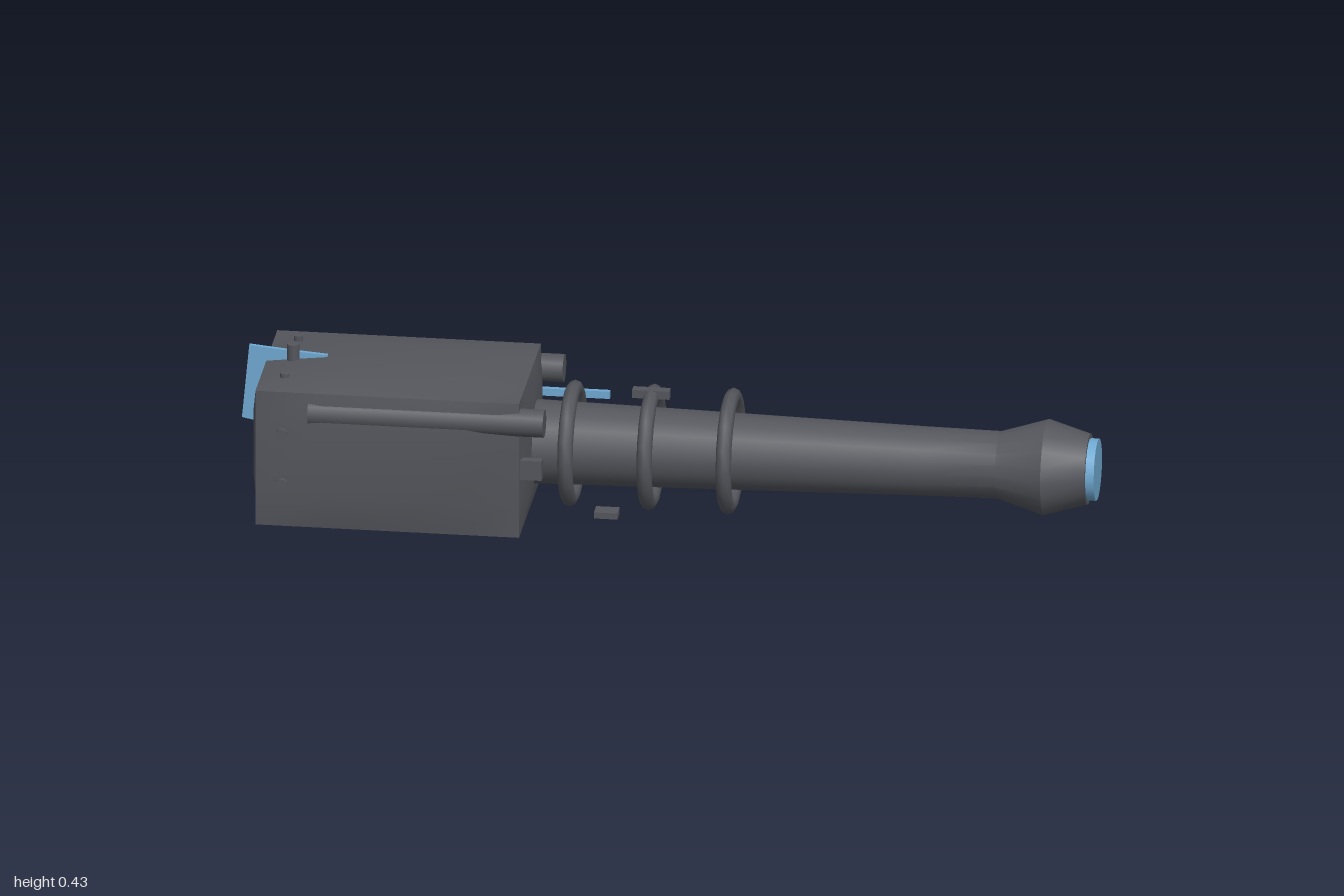
import * as THREE from 'three';
import { toCreasedNormals } from 'three/addons/utils/BufferGeometryUtils.js';

const AXIS_Y = 0.214, AXIS_Z = 0.016;

export function createModel() {
  const group = new THREE.Group();
  const metal = new THREE.MeshStandardMaterial({ color: 0x54565c });
  metal.name = 'dark metal';
  const glow = new THREE.MeshStandardMaterial({ color: 0x6fa9d2 });
  glow.name = 'light blue';

  const add = (name, geo, mat, x, y, z) => {
    const mesh = new THREE.Mesh(geo, mat);
    mesh.name = name;
    mesh.position.set(x, y, z);
    group.add(mesh);
    return mesh;
  };
  // box given by its minimum and maximum corners
  const box = (name, a, b, mat = metal) => add(name,
    new THREE.BoxGeometry(b[0] - a[0], b[1] - a[1], b[2] - a[2]), mat,
    (a[0] + b[0]) / 2, (a[1] + b[1]) / 2, (a[2] + b[2]) / 2);
  // cylinder along x, y or z
  const rod = (name, axis, r, length, x, y, z, sides = 12, mat = metal) => {
    const geo = new THREE.CylinderGeometry(r, r, length, sides);
    if (axis === 'x') geo.rotateZ(-Math.PI / 2);
    if (axis === 'z') geo.rotateX(Math.PI / 2);
    return add(name, geo, mat, x, y, z);
  };

  // head: a block whose six faces each bulge outwards
  const half = [0.308, 0.167, 0.188], bulge = [0.017, 0.018, 0.017];
  const headGeo = new THREE.BoxGeometry(2, 2, 2, 3, 3, 3);
  const pos = headGeo.attributes.position;
  for (let i = 0; i < pos.count; i++) {
    const u = [pos.getX(i), pos.getY(i), pos.getZ(i)];
    const outer = u.map(c => Math.abs(c) > 0.9);
    const onFaceOnly = outer.filter(Boolean).length === 1;
    const p = u.map((c, k) => Math.sign(c) *
      (outer[k] ? half[k] + (onFaceOnly ? bulge[k] : 0) : half[k] * 0.5));
    pos.setXYZ(i, ...p);
  }
  headGeo.computeVertexNormals();
  add('head', headGeo, metal, -0.635, AXIS_Y, AXIS_Z);

  // handle with flared pommel
  const profile = [[0, -0.4], [0.101, -0.4], [0.098, -0.28], [0.093, 0], [0.081, 0.6],
    [0.079, 0.77], [0.113, 0.88], [0.083, 0.98], [0, 0.98]];
  const handleGeo = new THREE.LatheGeometry(profile.map(p => new THREE.Vector2(...p)), 18);
  handleGeo.rotateZ(-Math.PI / 2);
  add('handle', toCreasedNormals(handleGeo, 0.42), metal, 0, AXIS_Y, AXIS_Z);
  rod('pommelCap', 'x', 0.073, 0.03, 0.985, AXIS_Y, AXIS_Z, 18, glow);

  // floating rings round the handle
  for (const x of [-0.228, -0.043, 0.142]) {
    const geo = new THREE.TorusGeometry(0.129, 0.018, 8, 16);
    geo.rotateY(Math.PI / 2);
    add('handleRing', geo, metal, x, AXIS_Y, AXIS_Z);
  }

  // rods along the upper edges of the head
  for (const z of [0.188, -0.157]) rod('edgeRod', 'x', 0.033, 0.55, -0.545, 0.329, z, 18);

  // studs near the back of the head
  rod('topStud', 'y', 0.015, 0.06, -0.88, 0.397, AXIS_Z);
  rod('bottomStud', 'y', 0.015, 0.06, -0.88, 0.03, AXIS_Z);
  for (const z of [-0.11, 0.125]) rod('smallTopStud', 'y', 0.011, 0.03, -0.885, 0.382, z);
  for (const y of [0.155, 0.28]) {
    rod('frontStud', 'z', 0.014, 0.03, -0.88, y, 0.205);
    rod('rearStud', 'z', 0.014, 0.03, -0.88, y, -0.176);
  }

  // small blocks and plates
  box('rearBlock', [-0.93, 0.145, -0.22], [-0.87, 0.202, -0.16]);
  box('sideLatch', [-0.34, 0.19, 0.178], [-0.275, 0.238, 0.199]);
  box('upperPlate', [-0.087, 0.338, 0.002], [0, 0.358, 0.026]);
  box('lowerPlate', [-0.175, 0.036, -0.004], [-0.12, 0.051, 0.036]);
  box('bluePin', [-0.34, 0.255, -0.175], [-0.165, 0.273, -0.163], glow);

  // thin fin wrapping over the upper rear edge
  const fin = new THREE.Shape([[-1, 0.237], [-0.965, 0.23], [-0.93, 0.3], [-0.9, 0.36],
    [-0.8, 0.37], [-0.8, 0.402], [-0.88, 0.408], [-0.983, 0.418]]
    .map(p => new THREE.Vector2(...p)));
  add('rearFin', new THREE.ExtrudeGeometry(fin, { depth: 0.01, bevelEnabled: false }),
    glow, 0, 0, 0.007);

  return group;
}
